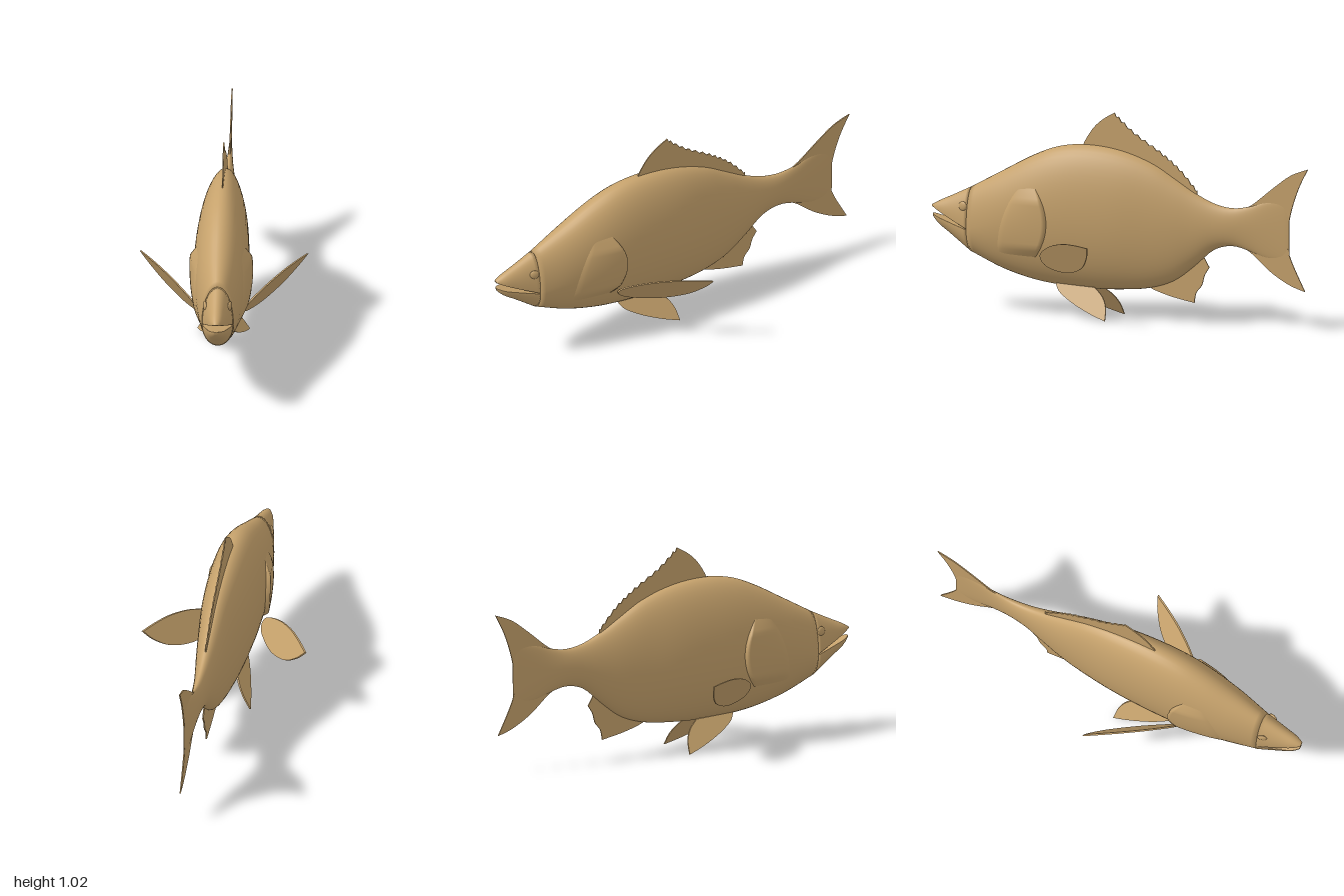
import * as THREE from 'three';

const tan = new THREE.MeshStandardMaterial({ color: 0xc6a26c });
tan.name = 'tan skin';

// Stations as [z, top, middle, bottom, half width], tail to head
const BODY = [
  [-0.9, 0.63, 0.49, 0.34, 0.003],
  [-0.78, 0.625, 0.49, 0.345, 0.012],
  [-0.69, 0.597, 0.49, 0.375, 0.02],
  [-0.6, 0.583, 0.49, 0.395, 0.03],
  [-0.5, 0.6, 0.48, 0.37, 0.041],
  [-0.4, 0.645, 0.47, 0.285, 0.057],
  [-0.3, 0.705, 0.47, 0.21, 0.075],
  [-0.18, 0.775, 0.47, 0.165, 0.094],
  [0, 0.835, 0.48, 0.143, 0.12],
  [0.2, 0.853, 0.49, 0.14, 0.133],
  [0.34, 0.832, 0.49, 0.15, 0.135],
  [0.46, 0.785, 0.48, 0.168, 0.13],
  [0.62, 0.7, 0.45, 0.212, 0.112],
  [0.79, 0.608, 0.405, 0.285, 0.078],
];
const UPPER_JAW = [
  [0.79, 0.608, 0.405, 0.4, 0.078],
  [0.9, 0.556, 0.453, 0.45, 0.051],
  [0.97, 0.524, 0.486, 0.484, 0.03],
  [1, 0.507, 0.5, 0.498, 0.012],
];
const LOWER_JAW = [
  [0.79, 0.405, 0.4, 0.285, 0.078],
  [0.9, 0.434, 0.431, 0.367, 0.051],
  [0.97, 0.455, 0.452, 0.418, 0.03],
  [0.995, 0.464, 0.462, 0.446, 0.012],
];

// Smooth interpolation between stations
function profile(stations) {
  const spline = new THREE.CubicInterpolant(
    stations.map((s) => s[0]), stations.flatMap((s) => s.slice(1)), 4);
  return (z) => Array.from(spline.evaluate(z));
}
const bodyAt = profile(BODY);

// Half width of the body at a point on its side
function sideX(y, z) {
  const [top, mid, bottom, w] = bodyAt(z);
  const t = (y - mid) / (y > mid ? top - mid : mid - bottom);
  return w * Math.sqrt(Math.max(0, 1 - t * t));
}

// Surface through rows of points; caps close the two end rings
function surface(rows, { capped = false, flip = false } = {}) {
  const n = rows[0].length;
  const pos = rows.flat(2);
  const index = [];
  const tri = (a, b, c) => (flip ? index.push(a, c, b) : index.push(a, b, c));
  for (let i = 0; i < rows.length - 1; i++) {
    for (let j = 0; j < (capped ? n : n - 1); j++) {
      const k = (j + 1) % n;
      tri(i * n + j, i * n + k, (i + 1) * n + k);
      tri(i * n + j, (i + 1) * n + k, (i + 1) * n + j);
    }
  }
  if (capped) {
    for (const last of [false, true]) {
      const ring = last ? rows[rows.length - 1] : rows[0];
      const base = last ? (rows.length - 1) * n : 0;
      const centre = pos.length / 3;
      pos.push(0, (ring[n / 4][1] + ring[(3 * n) / 4][1]) / 2, ring[0][2]);
      for (let j = 0; j < n; j++) {
        const k = (j + 1) % n;
        if (last) tri(centre, base + j, base + k);
        else tri(centre, base + k, base + j);
      }
    }
  }
  const geo = new THREE.BufferGeometry();
  geo.setAttribute('position', new THREE.Float32BufferAttribute(pos, 3));
  geo.setIndex(index);
  geo.computeVertexNormals();
  return geo;
}

function loft(stations, steps) {
  const at = profile(stations);
  const z0 = stations[0][0];
  const z1 = stations[stations.length - 1][0];
  const rows = [];
  for (let i = 0; i <= steps; i++) {
    const z = z0 + ((z1 - z0) * i) / steps;
    const [top, mid, bottom, w] = at(z);
    const ring = [];
    for (let j = 0; j < 48; j++) {
      const a = (j / 48) * Math.PI * 2;
      const s = Math.sin(a);
      ring.push([w * Math.cos(a), mid + s * (s > 0 ? top - mid : mid - bottom), z]);
    }
    rows.push(ring);
  }
  return surface(rows, { capped: true });
}

// Thin fin from splined edges of [z, y] points, leaned sideways by lean(y, z)
function fin(edges, lean = () => 0, thickness = 0.006) {
  const outline = edges.flatMap((edge) => {
    const pts = edge.map(([z, y]) => new THREE.Vector2(-z, y));
    return pts.length < 3 ? pts.slice(0, -1)
      : new THREE.SplineCurve(pts).getPoints(pts.length * 5).slice(0, -1);
  });
  const geo = new THREE.ExtrudeGeometry(new THREE.Shape(outline), { depth: thickness, bevelEnabled: false });
  geo.translate(0, 0, -thickness / 2).rotateY(Math.PI / 2);
  const p = geo.attributes.position;
  for (let i = 0; i < p.count; i++) p.setX(i, p.getX(i) + lean(p.getY(i), p.getZ(i)));
  geo.computeVertexNormals();
  return geo;
}

// Raised gill cover that follows the flank and steps down at its rear edge
function gillCover(side) {
  const rows = [];
  for (let i = 0; i <= 15; i++) {
    const u = Math.min(1, i / 14);
    const row = [];
    for (let j = 0; j <= 20; j++) {
      const v = j / 20;
      const y = 0.29 + 0.35 * v;
      const rear = 0.34 + 0.07 * (2 * v - 1) ** 2;
      const front = 0.62 - 0.12 * v * v;
      const z = rear + (front - rear) * (1 - u);
      const rise = 0.024 * Math.sqrt(u) * Math.min(1, 7 * v, 5 * (1 - v));
      row.push([side * (sideX(y, z) + (i === 15 ? -0.006 : rise - 0.002)), y, z]);
    }
    rows.push(row);
  }
  return surface(rows, { flip: side > 0 });
}

export function createModel() {
  const fish = new THREE.Group();
  fish.name = 'fish';
  const add = (name, geo) => {
    const mesh = new THREE.Mesh(geo, tan);
    mesh.name = name;
    fish.add(mesh);
    return mesh;
  };

  add('body', loft(BODY, 60));
  add('upperJaw', loft(UPPER_JAW, 12));
  add('lowerJaw', loft(LOWER_JAW, 12));

  // Forked tail
  add('tailFin', fin([
    [[-0.62, 0.57], [-0.7, 0.605], [-0.82, 0.7], [-0.91, 0.765], [-1, 0.8]],
    [[-1, 0.8], [-0.95, 0.7], [-0.91, 0.58], [-0.895, 0.48], [-0.9, 0.37], [-0.985, 0.19]],
    [[-0.985, 0.19], [-0.9, 0.22], [-0.8, 0.28], [-0.7, 0.365], [-0.62, 0.41]],
    [[-0.62, 0.41], [-0.62, 0.57]],
  ]));

  // Dorsal fin with a notched rear edge
  const ridge = new THREE.SplineCurve([
    [0.03, 1.02], [-0.075, 0.93], [-0.21, 0.845], [-0.315, 0.765], [-0.41, 0.66],
  ].map(([z, y]) => new THREE.Vector2(z, y)));
  const notches = [];
  for (let i = 0; i <= 28; i++) {
    const p = ridge.getPoint(i / 28);
    notches.push([p.x, p.y - (i % 2 ? 0.013 : 0)]);
  }
  add('dorsalFin', fin([
    [[-0.41, 0.6], [0.2, 0.8]],
    [[0.2, 0.8], [0.195, 0.855], [0.145, 0.935], [0.09, 0.985], [0.03, 1.02]],
    ...notches.slice(1).map((p, i) => [notches[i], p]),
    [[-0.41, 0.66], [-0.41, 0.6]],
  ]));

  add('analFin', fin([
    [[-0.15, 0.18], [-0.17, 0.157], [-0.27, 0.125], [-0.395, 0.1]],
    [[-0.395, 0.1], [-0.405, 0.15], [-0.435, 0.19], [-0.45, 0.24], [-0.475, 0.28]],
    [[-0.475, 0.28], [-0.44, 0.34]],
    [[-0.44, 0.34], [-0.3, 0.26]],
    [[-0.3, 0.26], [-0.15, 0.18]],
  ]));

  for (const [label, side] of [['left', 1], ['right', -1]]) {
    add(label + 'GillCover', gillCover(side));

    add(label + 'PectoralFin', fin([
      [[0.005, 0.405], [0.09, 0.407], [0.18, 0.4], [0.28, 0.372], [0.365, 0.32],
        [0.37, 0.275], [0.32, 0.245], [0.2, 0.24], [0.09, 0.28], [0.03, 0.345], [0.005, 0.405]],
    ], (y, z) => side * (0.17 - 0.6 * z + 0.6 * y), 0.01));

    add(label + 'PelvicFin', fin([
      [[0.33, 0.16], [0.3, 0.12], [0.22, 0.073], [0.12, 0.03], [0.03, 0]],
      [[0.03, 0], [0.04, 0.06], [0.07, 0.11], [0.12, 0.15]],
      [[0.12, 0.15], [0.33, 0.16]],
    ], (y) => side * (0.04 + (0.145 - y) * 0.59), 0.008));

    const eye = add(label + 'Eye', new THREE.SphereGeometry(0.024, 20, 14));
    eye.scale.x = 0.4;
    eye.position.set(side * 0.06, 0.515, 0.815);
    eye.rotation.y = side * -0.3;
  }
  return fish;
}
